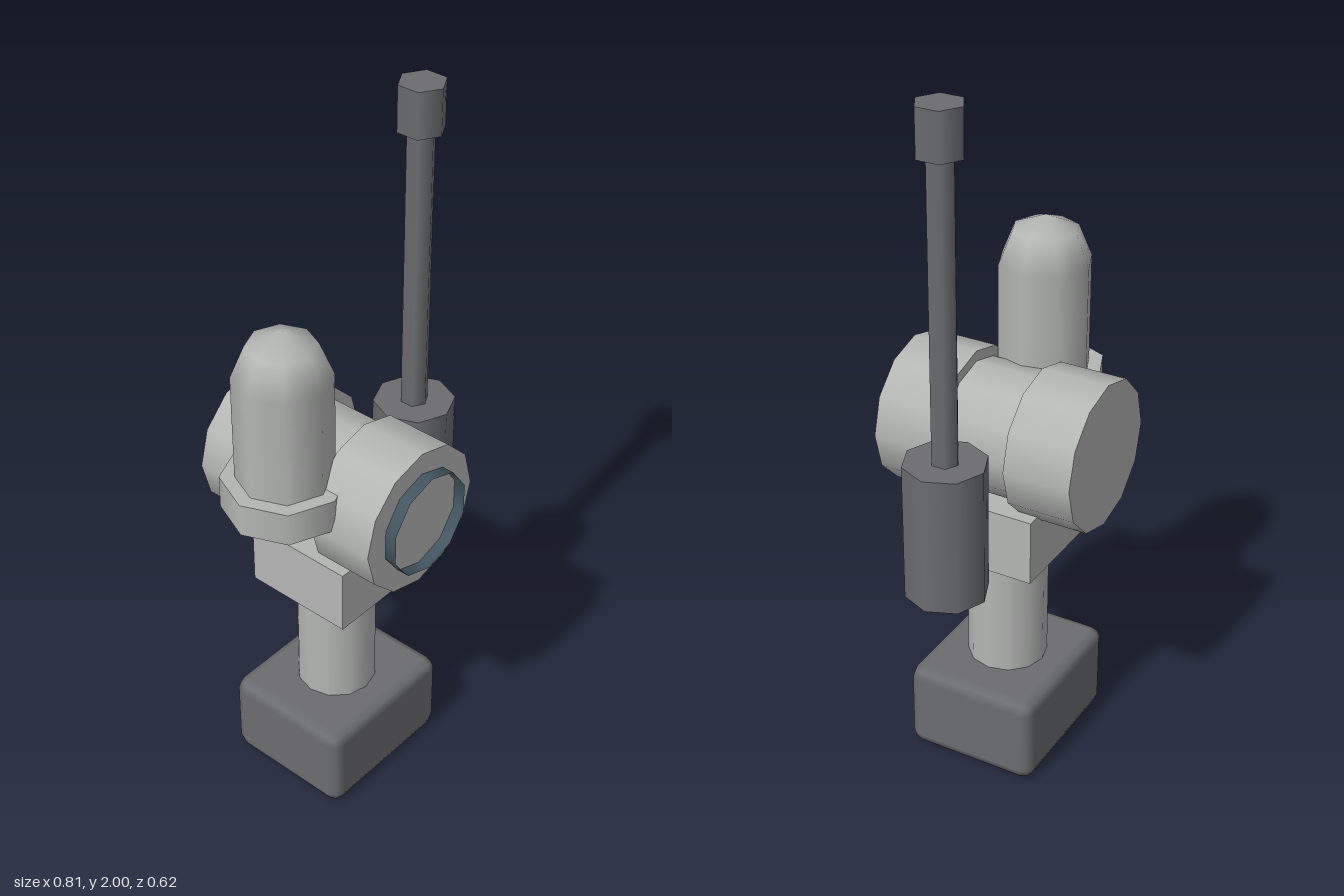
import * as THREE from 'three';
import { RoundedBoxGeometry } from 'three/addons/geometries/RoundedBoxGeometry.js';

const mat = (name, color, side = THREE.FrontSide) => {
  const m = new THREE.MeshStandardMaterial({ color, side });
  m.name = name;
  return m;
};

export function createModel() {
  const lightGrey = mat('light grey', 0xb4b6b4);
  const darkGrey = mat('dark grey', 0x6c6d70);
  const slateBlue = mat('slate blue', 0x445560, THREE.DoubleSide);

  const model = new THREE.Group();
  const cx = -0.04, cz = -0.017, headY = 0.983;

  const add = (name, geometry, material, x, y, z) => {
    const mesh = new THREE.Mesh(geometry, material);
    mesh.name = name;
    mesh.position.set(x, y, z);
    model.add(mesh);
    return mesh;
  };
  // Upright cylinder between two heights
  const upright = (name, r, sides, y0, y1, material, x, z = cz) =>
    add(name, new THREE.CylinderGeometry(r, r, y1 - y0, sides), material, x, (y0 + y1) / 2, z);
  // Cylinder lying along z between two depths
  const lying = (name, r, sides, z0, z1, material, open = false) =>
    add(name, new THREE.CylinderGeometry(r, r, z1 - z0, sides, 1, open).rotateX(Math.PI / 2),
      material, cx, headY, (z0 + z1) / 2);

  // Base, post and mounting block
  add('base', new RoundedBoxGeometry(0.456, 0.262, 0.393, 1, 0.035), darkGrey, cx, 0.131, cz);
  upright('post', 0.113, 12, 0.25, 0.64, lightGrey, cx);
  add('mountBlock', new THREE.BoxGeometry(0.324, 0.19, 0.324), lightGrey, cx, 0.725, cz + 0.004);

  // Head: two drums joined by a narrower waist, with an open lens rim in front
  lying('frontDrum', 0.21, 12, 0.082, 0.275, lightGrey);
  lying('headWaist', 0.18, 12, -0.13, 0.09, lightGrey);
  lying('rearDrum', 0.21, 12, -0.31, -0.117, lightGrey);
  lying('lensRim', 0.147, 10, 0.27, 0.309, slateBlue, true);

  // Domed canister on its side shelf
  const canX = -0.235;
  upright('shelf', 0.17, 8, 1.0, 1.096, lightGrey, canX);
  upright('canister', 0.13, 8, 1.05, 1.404, lightGrey, canX);
  add('canisterDome', new THREE.SphereGeometry(0.13, 8, 2, 0, Math.PI * 2, 0, Math.PI / 2),
    lightGrey, canX, 1.404, cz);

  // Antenna: housing, rod and tip
  const antX = 0.289;
  upright('antennaHousing', 0.114, 8, 0.657, 1.05, darkGrey, antX);
  upright('antennaRod', 0.039, 6, 1.04, 1.88, darkGrey, antX);
  upright('antennaTip', 0.065, 6, 1.872, 2.0, darkGrey, antX);

  return model;
}
